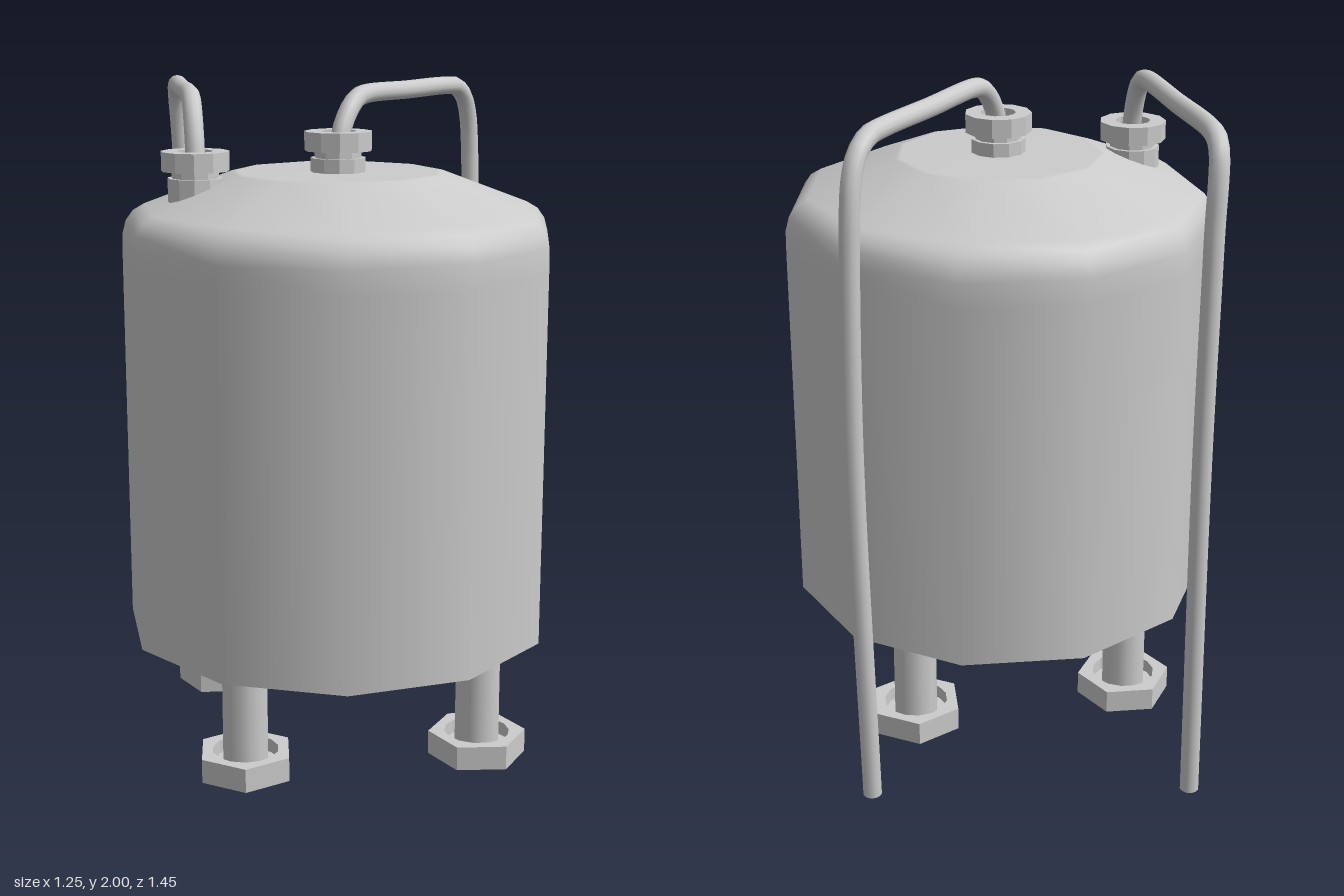
import * as THREE from 'three';

const material = new THREE.MeshStandardMaterial({ color: 0xcccccc });
const flatMaterial = new THREE.MeshStandardMaterial({ color: 0xcccccc, flatShading: true });

function add(parent, name, geometry, mat = material) {
  const mesh = new THREE.Mesh(geometry, mat);
  mesh.name = name;
  parent.add(mesh);
  return mesh;
}

const SIDES = 11;
function lathe(profile, sides = SIDES) {
  const points = profile.map(([r, y]) => new THREE.Vector2(r, y));
  return new THREE.LatheGeometry(points, sides, Math.PI / 2); // first corner on +x
}

// Eleven-sided tank with a rounded shoulder and shallow domed lid
function createTank() {
  const tank = new THREE.Group();
  tank.name = 'tank';
  add(tank, 'tankShell', lathe([
    [0.636, 0.405], [0.636, 1.5], [0.635, 1.57], [0.624, 1.61], [0.602, 1.64], [0.568, 1.66],
    [0.31, 1.758], [0.295, 1.76], [0, 1.76],
  ]));
  add(tank, 'tankFloor', new THREE.CircleGeometry(0.636, SIDES).rotateX(Math.PI / 2)).position.y = 0.405;
  tank.position.set(-0.015, 0, 0.095);
  return tank;
}

// Stepped collar with a recessed nut; y = 0 is the lid height
function createFitting(x, y, z) {
  const fitting = add(new THREE.Group(), 'pipeFitting', lathe([
    [0.08, -0.03], [0.08, 0.04], [0.068, 0.04], [0.068, 0.06], [0.098, 0.06],
    [0.098, 0.115], [0.052, 0.115], [0.052, 0.08], [0, 0.08],
  ]), flatMaterial);
  fitting.position.set(x, y, z);
  return fitting;
}

// Bent pipe, closed at its lower end
function createPipe(name, path) {
  const pipe = new THREE.Group();
  pipe.name = name;
  const radius = 0.028, sides = 12;
  const curve = new THREE.CatmullRomCurve3(path.map((p) => new THREE.Vector3(...p)), false, 'centripetal');
  add(pipe, 'tube', new THREE.TubeGeometry(curve, 90, radius, sides));
  const cap = add(pipe, 'tubeEnd', new THREE.CircleGeometry(radius, sides).rotateX(Math.PI / 2));
  cap.position.copy(curve.getPoint(1));
  return pipe;
}

// Round leg standing in a recessed hexagonal foot
function createLeg(x, z, turn) {
  const leg = new THREE.Group();
  leg.name = 'leg';
  const R = 0.142;
  const post = add(leg, 'legPost', new THREE.CylinderGeometry(0.064, 0.064, 0.31, 14, 1, true));
  post.position.y = 0.255;

  const hexagon = (hole) => {
    const shape = new THREE.Shape();
    for (let i = 0; i < 6; i++) {
      const a = (i * Math.PI) / 3;
      shape[i ? 'lineTo' : 'moveTo'](R * Math.cos(a), R * Math.sin(a));
    }
    if (hole) shape.holes.push(new THREE.Path().absarc(0, 0, hole, 0, Math.PI * 2, true));
    return shape;
  };
  const slab = (shape, depth, y) => new THREE.ExtrudeGeometry(shape, { depth, bevelEnabled: false, curveSegments: 7 })
    .rotateX(-Math.PI / 2).translate(0, y, 0);
  add(leg, 'footBase', slab(hexagon(), 0.03, 0.09), flatMaterial);
  add(leg, 'footRim', slab(hexagon(0.095), 0.04, 0.12), flatMaterial);

  leg.position.set(x, 0, z);
  leg.rotation.y = -THREE.MathUtils.degToRad(turn);
  return leg;
}

export function createModel() {
  const model = new THREE.Group();
  model.name = 'pipedTank';
  model.add(createTank());

  // Fittings on the middle and the right side of the lid
  model.add(createFitting(-0.015, 1.76, 0.108), createFitting(-0.427, 1.71, 0.108));

  // Pipes rise from the fittings, cross the lid and drop behind the tank
  model.add(createPipe('centrePipe', [
    [-0.018, 1.83, 0.125], [-0.005, 1.88, 0.11], [0.02, 1.93, 0.083], [0.05, 1.962, 0.048], [0.08, 1.972, 0.015],
    [0.25, 1.972, -0.175], [0.42, 1.972, -0.36], [0.465, 1.965, -0.41], [0.5, 1.93, -0.447],
    [0.52, 1.87, -0.47], [0.53, 1.78, -0.482], [0.535, 1.65, -0.485], [0.541, 1.1, -0.48], [0.519, 0, -0.467],
  ]));
  model.add(createPipe('sidePipe', [
    [-0.427, 1.77, 0.125], [-0.427, 1.86, 0.102], [-0.427, 1.93, 0.068], [-0.426, 1.962, 0.032], [-0.425, 1.972, -0.01],
    [-0.415, 1.972, -0.3], [-0.404, 1.972, -0.585], [-0.401, 1.96, -0.638], [-0.397, 1.925, -0.67],
    [-0.391, 1.86, -0.687], [-0.385, 1.75, -0.694], [-0.382, 1.6, -0.698], [-0.378, 1.1, -0.7], [-0.395, 0, -0.678],
  ]));

  // Four legs, each foot turned a quarter further
  [[0.33, 0.465], [-0.353, 0.47], [-0.325, -0.248], [0.337, -0.245]]
    .forEach(([x, z], i) => model.add(createLeg(x, z, 8 + i * 90)));
  return model;
}
